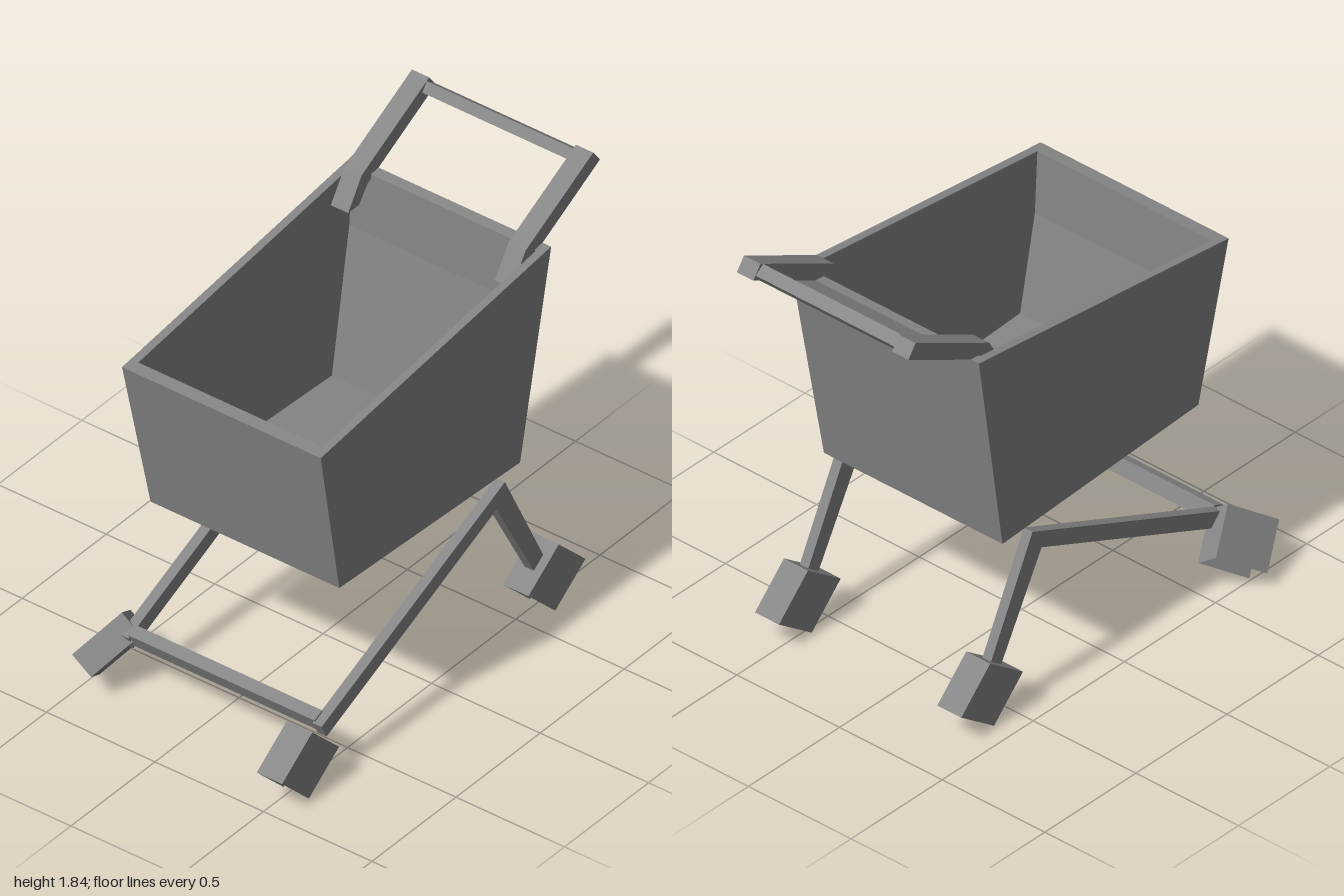
import * as THREE from 'three';

const MID = 0.085; // centre line of the cart body in x
const GREY = 0x868686;

const solid = new THREE.MeshStandardMaterial({ color: GREY, flatShading: true });
const thin = new THREE.MeshStandardMaterial({ color: GREY, flatShading: true, side: THREE.DoubleSide });

// Flat-shaded geometry from a list of four-cornered faces
function quads(faces) {
  const pts = [];
  for (const [a, b, c, d] of faces) pts.push(a, b, c, a, c, d);
  const geo = new THREE.BufferGeometry().setFromPoints(pts);
  geo.computeVertexNormals();
  return geo;
}

function add(group, name, geo, material = solid) {
  const mesh = new THREE.Mesh(geo, material);
  mesh.name = name;
  group.add(mesh);
  return mesh;
}

// Side profile given as [z, y] points, extruded to a width centred on x
function sideProfile(points, width, x) {
  const shape = new THREE.Shape(points.map(([z, y]) => new THREE.Vector2(z, y)));
  const geo = new THREE.ExtrudeGeometry(shape, { depth: width, bevelEnabled: false });
  return geo.translate(0, 0, -width / 2).rotateY(-Math.PI / 2).translate(x, 0, 0);
}

// Tapered basket: outer base, outer rim, inner rim, lower edge of the rim band, inner floor
function basketGeometry() {
  const ring = (halfW, zFront, yFront, zBack, yBack) => [
    new THREE.Vector3(MID - halfW, yFront, zFront),
    new THREE.Vector3(MID + halfW, yFront, zFront),
    new THREE.Vector3(MID + halfW, yBack, zBack),
    new THREE.Vector3(MID - halfW, yBack, zBack),
  ];
  const rings = [
    ring(0.435, 0.575, 0.77, -0.5, 0.715),
    ring(0.458, 0.715, 1.448, -0.655, 1.61),
    ring(0.425, 0.66, 1.452, -0.61, 1.605),
    ring(0.43, 0.652, 1.18, -0.6, 1.34),
    ring(0.43, 0.571, 0.776, -0.497, 0.721),
  ];
  const faces = [];
  for (let i = 0; i < rings.length - 1; i++) {
    for (let k = 0; k < 4; k++) {
      const n = (k + 1) % 4;
      faces.push([rings[i][k], rings[i][n], rings[i + 1][n], rings[i + 1][k]]);
    }
  }
  faces.push([...rings[0]].reverse(), rings[4]);
  return quads(faces);
}

// Caster: a box on edge, open below. u and v run down from the ridge, r along it
function casterGeometry(top, u, v, r) {
  const at = (...dirs) => dirs.reduce((p, d) => p.add(d), top.clone());
  return quads([
    [at(), at(u), at(u, r), at(r)],
    [at(), at(r), at(v, r), at(v)],
    [at(), at(v), at(u, v), at(u)],
    [at(r), at(u, r), at(u, v, r), at(v, r)],
  ]);
}

export function createModel() {
  const cart = new THREE.Group();
  cart.name = 'shoppingCart';

  add(cart, 'basket', basketGeometry());

  // Bent legs and handle arms, mirrored about the centre line
  const leg = [[-0.37, 0.715], [-0.61, 0.23], [-0.55, 0.2], [-0.32, 0.62], [0.69, 0.18], [0.72, 0.24]];
  const arm = [[-0.957, 1.842], [-0.997, 1.788], [-0.59, 1.575], [-0.54, 1.508], [-0.475, 1.508], [-0.555, 1.632]];
  for (const [side, s] of [['left', 1], ['right', -1]]) {
    add(cart, side + 'Leg', sideProfile(leg, 0.042, MID + s * 0.445));
    add(cart, side + 'HandleArm', sideProfile(arm, 0.08, MID + s * 0.378));
  }

  // Cross bars
  const frontBar = add(cart, 'frontCrossBar', new THREE.BoxGeometry(0.86, 0.064, 0.05));
  frontBar.position.set(MID, 0.231, 0.68);
  frontBar.rotation.x = 0.41;
  const grip = add(cart, 'handleGrip', new THREE.BoxGeometry(0.69, 0.045, 0.052));
  grip.position.set(MID, 1.8, -0.95);
  grip.rotation.x = -0.62;

  // Three straight casters
  const u = new THREE.Vector3(0, -0.13, 0.18);
  const v = new THREE.Vector3(0, -0.157, -0.159);
  const r = new THREE.Vector3(0.117, 0, 0);
  const straight = [
    ['frontLeftCaster', 0.469, 0.82],
    ['backLeftCaster', 0.469, -0.645],
    ['backRightCaster', -0.419, -0.645],
  ];
  for (const [name, x, z] of straight) {
    add(cart, name, casterGeometry(new THREE.Vector3(x, 0.29, z), u, v, r), thin);
  }

  // The front right caster is swivelled and leans outward
  const lean = (x, y, z) => new THREE.Vector3(x, y, z).applyAxisAngle(new THREE.Vector3(0, 0, 1), -0.62);
  add(cart, 'frontRightCaster', casterGeometry(
    new THREE.Vector3(-0.405, 0.302, 0.675),
    lean(0, -0.152, 0.182), lean(0, -0.145, -0.16), lean(0.108, 0, 0)), thin);

  return cart;
}
